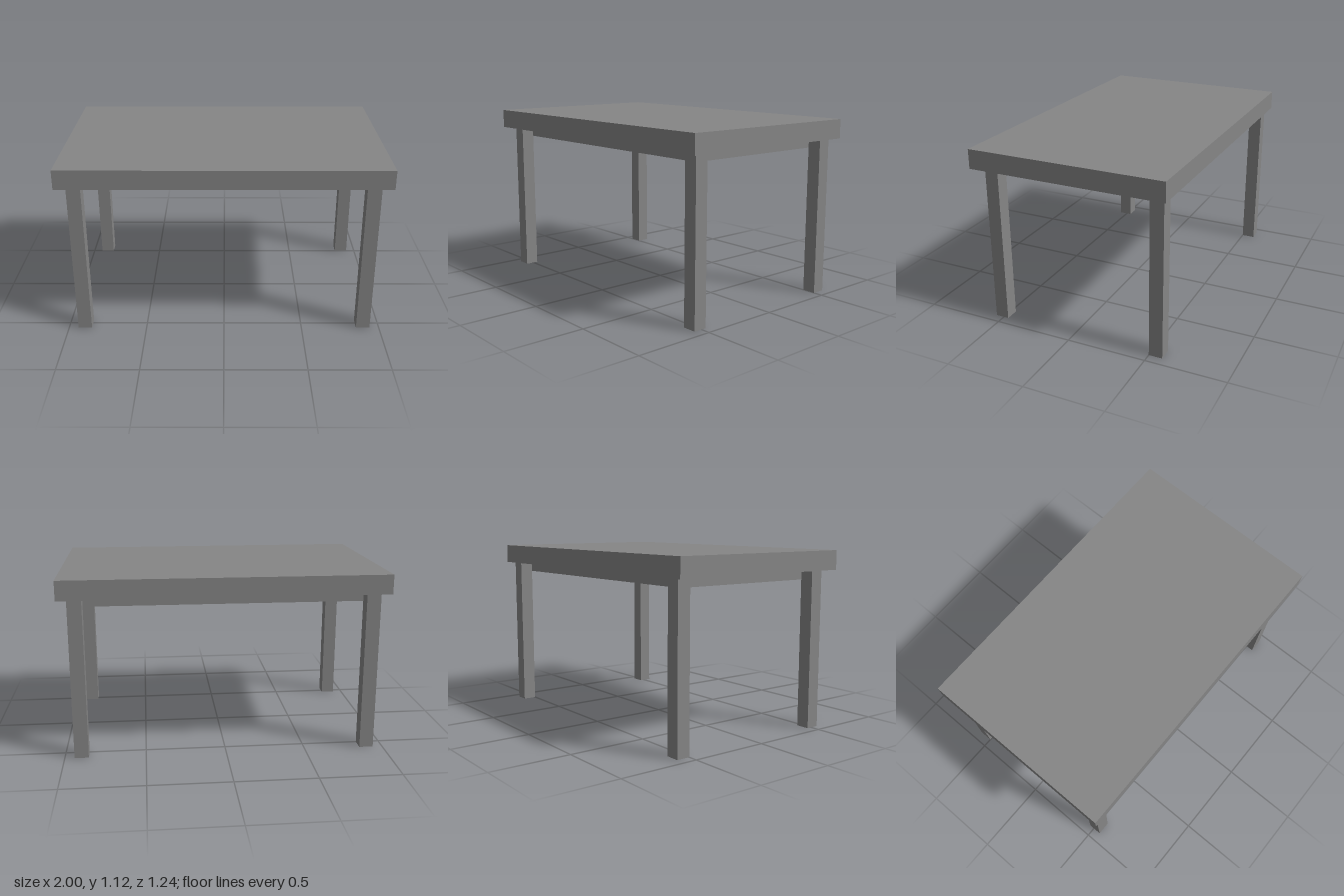
import * as THREE from 'three';

export function createModel() {
  const model = new THREE.Group();
  model.name = 'table';
  const material = new THREE.MeshStandardMaterial({ color: 0x868686, flatShading: true });

  // Box given by its [min, max] range on each axis
  function addBox(name, [x0, x1], [y0, y1], [z0, z1]) {
    const mesh = new THREE.Mesh(new THREE.BoxGeometry(x1 - x0, y1 - y0, z1 - z0), material);
    mesh.position.set((x0 + x1) / 2, (y0 + y1) / 2, (z0 + z1) / 2);
    mesh.name = name;
    model.add(mesh);
  }

  const legTop = 0.997;
  const legInner = 0.853, legOuter = 0.94;

  // Thick top, and the recessed panel filling the space between the legs
  addBox('tableTop', [-1, 1], [legTop, 1.118], [-0.618, 0.618]);
  addBox('underPanel', [-legInner, legInner], [0.935, legTop], [-0.5, 0.468]);

  // Four square legs, the back pair set slightly further out
  const rows = { front: [0.468, 0.553], back: [-0.585, -0.5] };
  for (const [row, zRange] of Object.entries(rows)) {
    addBox(row + 'LeftLeg', [legInner, legOuter], [0, legTop], zRange);
    addBox(row + 'RightLeg', [-legOuter, -legInner], [0, legTop], zRange);
  }

  return model;
}
